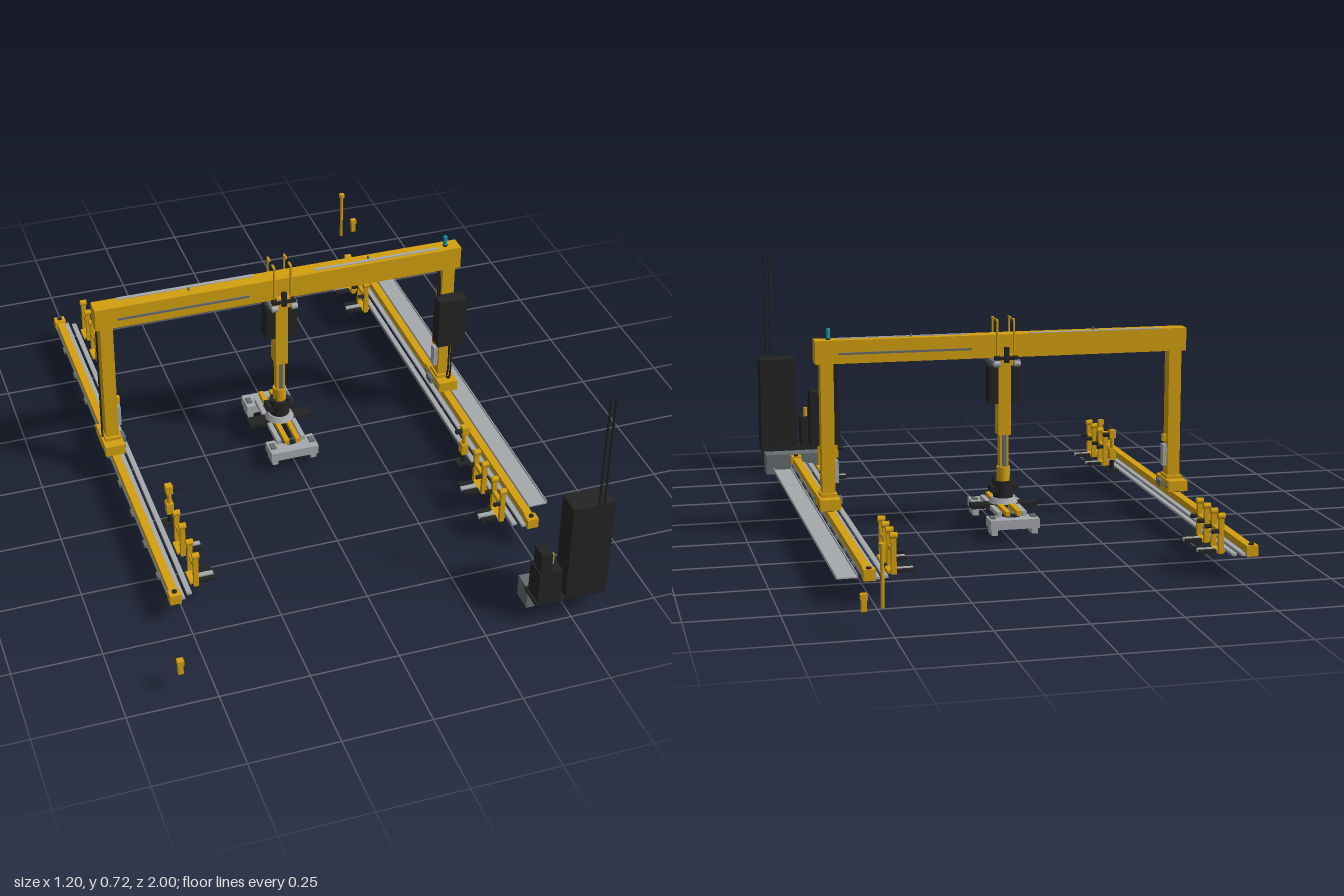
import * as THREE from 'three';

const mat = (name, color, side = THREE.FrontSide) => {
  const m = new THREE.MeshStandardMaterial({ color, side });
  m.name = name;
  return m;
};

export function createModel() {
  const yellow = mat('safety yellow', 0xd4a010);
  const black = mat('black', 0x242424);
  const slate = mat('slate grey', 0x666c70);
  const grey = mat('light grey', 0xa6a9ad);
  const cyan = mat('lamp cyan', 0x14a3b4);

  const root = new THREE.Group();
  root.name = 'gantryCrane';
  const group = (name, parent = root, x = 0, y = 0, z = 0) => {
    const g = new THREE.Group();
    g.name = name;
    g.position.set(x, y, z);
    parent.add(g);
    return g;
  };
  const add = (parent, name, geo, m) => {
    const mesh = new THREE.Mesh(geo, m);
    mesh.name = name;
    parent.add(mesh);
    return mesh;
  };
  // box given by its limits on each axis
  const box = (p, name, m, x0, x1, y0, y1, z0, z1) => {
    const a = Math.min(x0, x1), b = Math.max(x0, x1);
    const mesh = add(p, name, new THREE.BoxGeometry(b - a, y1 - y0, z1 - z0), m);
    mesh.position.set((a + b) / 2, (y0 + y1) / 2, (z0 + z1) / 2);
    return mesh;
  };
  const rod = (p, name, m, r, x, y0, y1, z, rTop = r) => {
    const mesh = add(p, name, new THREE.CylinderGeometry(rTop, r, y1 - y0, 16), m);
    mesh.position.set(x, (y0 + y1) / 2, z);
    return mesh;
  };
  const rodX = (p, name, m, r, x0, x1, y, z) => {
    const mesh = add(p, name, new THREE.CylinderGeometry(r, r, Math.abs(x1 - x0), 14), m);
    mesh.rotation.z = Math.PI / 2;
    mesh.position.set((x0 + x1) / 2, y, z);
    return mesh;
  };
  const cable = (p, name, m, r, pts) => add(p, name, new THREE.TubeGeometry(
    new THREE.CatmullRomCurve3(pts.map(v => new THREE.Vector3(...v))), 24, r, 8), m);

  const plant = group('plant', root, -0.0075);
  const ZC = -0.017;

  // Bridge beam
  const bridge = group('bridge', plant);
  box(bridge, 'beam', yellow, -0.555, 0.557, 0.522, 0.59, ZC - 0.025, ZC + 0.025);
  box(bridge, 'frontPowerRail', slate, -0.49, -0.10, 0.548, 0.554, ZC + 0.025, ZC + 0.029);
  box(bridge, 'backPowerRail', slate, 0.10, 0.49, 0.548, 0.554, ZC - 0.029, ZC - 0.025);
  box(bridge, 'topStripLeft', grey, -0.48, -0.075, 0.59, 0.592, ZC - 0.024, ZC - 0.012);
  box(bridge, 'topStripRight', grey, 0.105, 0.49, 0.59, 0.592, ZC + 0.003, ZC + 0.013);
  for (const x of [-0.273, 0.273]) rod(bridge, 'beamPin', slate, 0.003, x, 0.588, 0.6, ZC);
  rod(bridge, 'lampBase', black, 0.007, 0.515, 0.588, 0.594, ZC);
  rod(bridge, 'warningLamp', cyan, 0.006, 0.515, 0.594, 0.622, ZC);

  for (const s of [-1, 1]) {
    const side = group(s < 0 ? 'rightSide' : 'leftSide', plant);
    const b = (name, m, x0, x1, ...r) => box(side, name, m, s * x0, s * x1, ...r);

    // Leg and wheel carriage
    b('leg', yellow, 0.504, 0.542, 0.12, 0.53, ZC - 0.021, ZC + 0.021);
    b('legFoot', yellow, 0.499, 0.547, 0.13, 0.142, ZC - 0.03, ZC + 0.03);
    b('carriage', yellow, 0.495, 0.554, 0.1, 0.132, -0.08, 0.043);
    for (const z of [-0.062, 0.026]) {
      rodX(side, 'wheel', black, 0.014, s * 0.513, s * 0.534, 0.108, z);
      rodX(side, 'axleCap', slate, 0.007, s * 0.491, s * 0.557, 0.116, z);
    }
    b('carriageDrive', slate, 0.482, 0.496, 0.108, 0.126, -0.035, 0.0);
    b('legPanel', grey, 0.492, 0.505, 0.17, 0.235, ZC - 0.012, ZC + 0.012);
    b('legBracket', yellow, 0.492, 0.505, 0.245, 0.265, ZC - 0.008, ZC + 0.008);

    // Runway rail with clips and end stops
    b('rail', yellow, 0.511, 0.534, 0.076, 0.096, -0.725, 0.69);
    b('railPlate', slate, 0.506, 0.538, 0.07, 0.077, -0.725, 0.69);
    b('railStrip', grey, 0.494, 0.507, 0.071, 0.078, -0.72, 0.685);
    b('guideStrip', grey, 0.471, 0.485, 0.07, 0.077, -0.71, 0.67);
    for (let z = -0.57; z < 0.62; z += 0.143)
      b('railClip', slate, 0.53, 0.544, 0.07, 0.079, z - 0.013, z + 0.013);
    for (const z of [-0.715, 0.68]) {
      b('endStop', yellow, 0.506, 0.539, 0.07, 0.1, z - 0.013, z + 0.017);
      rod(side, 'endBuffer', black, 0.007, s * 0.5225, 0.098, 0.104, z);
    }

    // Trackside stands
    for (const z of [-0.645, -0.525, 0.475, 0.607]) {
      const st = group('stand', side, 0, 0, z);
      const sb = (name, m, x0, x1, ...r) => box(st, name, m, s * x0, s * x1, ...r);
      sb('crossbar', yellow, 0.443, 0.455, 0.125, 0.137, -0.03, 0.03);
      sb('standFoot', yellow, 0.435, 0.465, 0.07, 0.078, -0.024, 0.024);
      for (const dz of [-0.03, 0.03]) {
        sb('post', yellow, 0.443, 0.457, 0.07, 0.178, dz - 0.006, dz + 0.006);
        rodX(st, 'postKnob', black, 0.006, s * 0.425, s * 0.444, 0.132, dz);
        rodX(st, 'postHead', yellow, 0.009, s * 0.44, s * 0.46, 0.174, dz);
      }
      for (const dz of [-0.019, 0, 0.019])
        sb('basePlate', dz ? black : grey, 0.393, 0.44, 0.07, 0.079, dz - 0.007, dz + 0.007);
    }

    // Sensor post
    const sp = group('sensorPost', side, s * 0.447, 0, 0.357);
    box(sp, 'sensorBase', black, -0.02, 0.02, 0.07, 0.077, -0.014, 0.014);
    rod(sp, 'sensorStem', black, 0.007, 0, 0.077, 0.12, 0);
    box(sp, 'sensorBody', yellow, -0.01, 0.01, 0.11, 0.145, -0.013, 0.013);
    rod(sp, 'sensorMast', yellow, 0.007, 0, 0.14, 0.19, 0);
    box(sp, 'sensorHead', yellow, -0.01, 0.01, 0.18, 0.205, -0.011, 0.011);
    rodX(sp, 'sensorEye', black, 0.007, -s * 0.01, -s * 0.028, 0.19, 0);
  }

  // Cable tray beside one runway
  box(root, 'cableTray', grey, 0.54, 0.598, 0.07, 0.074, -0.693, 0.608);
  for (const x of [0.54, 0.595]) box(root, 'trayLip', grey, x, x + 0.003, 0.07, 0.08, -0.693, 0.608);

  // Leg cables and control box
  cable(plant, 'legCable', black, 0.003, [[-0.549, 0.13, ZC], [-0.549, 0.3, ZC], [-0.549, 0.525, ZC]]);
  box(plant, 'legControlBox', black, 0.48, 0.567, 0.275, 0.435, 0.006, 0.05);
  for (const x of [0.488, 0.494])
    cable(plant, 'boxFeed', black, 0.003, [[x, 0.43, 0.012], [x, 0.48, 0.008], [x, 0.525, 0]]);
  for (const z of [0.02, 0.038])
    cable(plant, 'boxDropCable', black, 0.003,
      [[0.53, 0.28, z], [0.53, 0.17, z], [0.53, 0.14, z - 0.008], [0.53, 0.132, z - 0.03]]);

  // Hoist trolley
  const hoist = group('hoist', root, -0.008, 0, ZC);
  box(hoist, 'trolleyPlate', slate, -0.043, 0.043, 0.502, 0.516, -0.04, 0.04);
  for (const sz of [-1, 1]) {
    const z = sz * 0.036;
    box(hoist, 'trolleyCheek', yellow, -0.02, 0.02, 0.5, 0.535, z - 0.007, z + 0.007);
    box(hoist, 'trolleyClamp', black, -0.007, 0.007, 0.51, 0.555, sz * 0.045 - 0.006, sz * 0.045 + 0.006);
    box(hoist, 'clampArm', black, -0.035, 0.035, 0.518, 0.528, sz * 0.04 - 0.008, sz * 0.04 + 0.008);
    for (const x of [-0.03, 0.03]) rodX(hoist, 'roller', grey, 0.009, x - 0.009, x + 0.009, 0.507, sz * 0.05);
    for (const x of [-0.025, 0.025]) {
      rod(hoist, 'hookRod', yellow, 0.003, x, 0.51, 0.636, sz * 0.031);
      box(hoist, 'hookTip', yellow, x - 0.003, x + 0.003, 0.63, 0.636,
        sz > 0 ? 0.012 : -0.034, sz > 0 ? 0.034 : -0.012);
    }
  }
  for (const s of [-1, 1])
    box(hoist, 'hoistDrive', black, s * 0.019, s * 0.047, 0.385, 0.495, -0.024, 0.024);

  // Telescopic mast
  box(hoist, 'outerMast', yellow, -0.019, 0.019, 0.29, 0.505, -0.022, 0.026);
  box(hoist, 'innerMast', yellow, -0.013, 0.013, 0.18, 0.295, -0.014, 0.014);
  for (const z of [-0.0155, 0.0155]) box(hoist, 'mastSlide', slate, -0.006, 0.006, 0.195, 0.29, z - 0.002, z + 0.002);
  rod(hoist, 'mastCollar', yellow, 0.02, 0, 0.148, 0.192, 0);
  rod(hoist, 'rotator', black, 0.03, 0, 0.1, 0.15, 0);
  box(hoist, 'rotatorMotors', black, -0.042, 0.042, 0.118, 0.136, -0.02, 0.02);
  for (const x of [-0.022, 0.022]) rod(hoist, 'rotatorBolt', black, 0.007, x, 0.135, 0.158, 0.018);
  rod(hoist, 'turntable', grey, 0.044, 0, 0.084, 0.1, 0, 0.036);

  // Gripper with two notched pads
  box(hoist, 'crossArm', black, -0.099, 0.099, 0.07, 0.083, -0.02, 0.02);
  for (const x of [-0.017, 0.017])
    box(hoist, 'gripperFork', yellow, x - 0.007, x + 0.007, 0.072, 0.086, -0.135, 0.13);
  const pad = new THREE.Shape();
  pad.moveTo(-0.073, 0);
  pad.lineTo(-0.03, 0);
  pad.absarc(0, 0.005, 0.03, Math.PI, 0, true);
  pad.lineTo(0.073, 0);
  pad.lineTo(0.073, 0.065);
  pad.lineTo(-0.073, 0.065);
  pad.closePath();
  const padGeo = new THREE.ExtrudeGeometry(pad, { depth: 0.028, bevelEnabled: false, curveSegments: 16 });
  padGeo.rotateX(Math.PI / 2);
  for (const s of [-1, 1]) {
    const g = group('gripperPad', hoist);
    if (s < 0) g.rotation.y = Math.PI;
    add(g, 'pad', padGeo, grey).position.set(0, 0.066, 0.092);
    for (const x of [-0.06, 0.06]) {
      box(g, 'padFoot', grey, x - 0.009, x + 0.009, 0.02, 0.04, 0.1, 0.15);
      box(g, 'padHinge', slate, x - 0.008, x + 0.008, 0.065, 0.071, 0.11, 0.135);
      box(g, 'padLink', grey, x * 0.62 - 0.007, x * 0.62 + 0.007, 0.066, 0.08, 0.015, 0.115);
    }
  }

  // Control cabinet on its plinth
  const cab = group('controlCabinet');
  box(cab, 'plinth', slate, 0.398, 0.59, 0, 0.066, 0.867, 0.93);
  box(cab, 'floorPlate', black, 0.39, 0.597, 0.066, 0.076, 0.925, 1.0);
  box(cab, 'cabinet', black, 0.477, 0.597, 0.07, 0.376, 0.93, 1.0);
  box(cab, 'sideUnit', black, 0.396, 0.462, 0.07, 0.175, 0.935, 0.998);
  box(cab, 'sideUnitTop', black, 0.4, 0.431, 0.17, 0.235, 0.945, 0.995);
  rod(cab, 'sideBeacon', yellow, 0.007, 0.445, 0.174, 0.205, 0.96);
  for (const x of [0.552, 0.567]) rod(cab, 'aerial', black, 0.0035, x, 0.37, 0.716, 0.995);

  // Outlying bollards and marker pole
  for (const [x, z] of [[-0.59, 0.955], [0.575, -0.99]]) {
    box(root, 'bollard', yellow, x - 0.007, x + 0.007, 0.07, 0.112, z - 0.007, z + 0.007);
    box(root, 'bollardCap', yellow, x - 0.009, x + 0.009, 0.1, 0.115, z - 0.009, z + 0.009);
  }
  rod(root, 'markerPole', yellow, 0.005, 0.525, 0.07, 0.225, -0.973);
  rod(root, 'markerHead', yellow, 0.009, 0.525, 0.222, 0.235, -0.973);
  return root;
}
